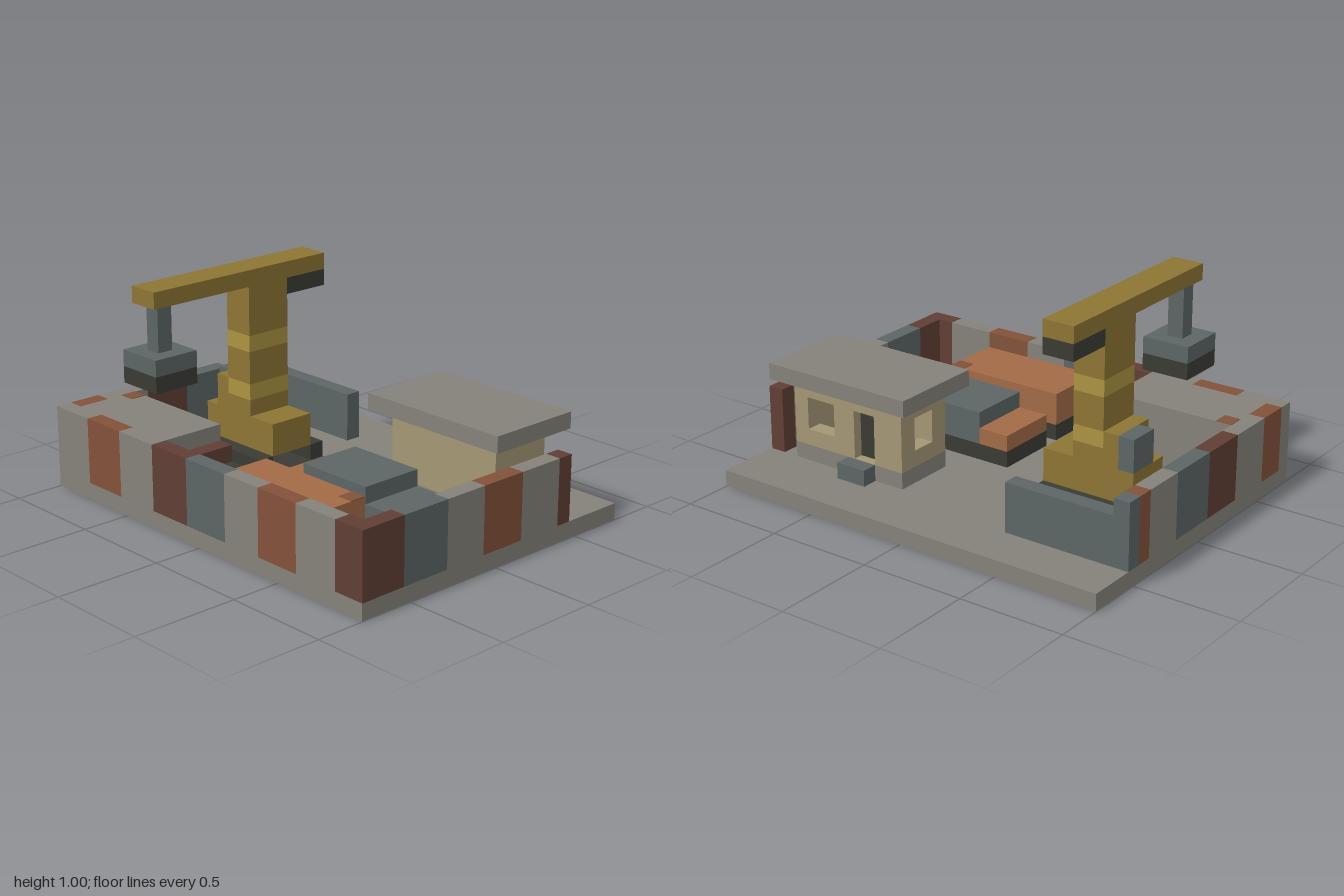
import * as THREE from 'three';

const U = 1 / 13; // grid unit of the blocky design

const mat = (name, color) => {
  const m = new THREE.MeshStandardMaterial({ color });
  m.name = name;
  return m;
};

export function createModel() {
  const grey = mat('concrete', 0x85827a);
  const rust = mat('rust paint', 0x83523a);
  const brown = mat('brown paint', 0x603e34);
  const steel = mat('steel blue', 0x5d6565);
  const yellow = mat('crane yellow', 0x8c7533);
  const gold = mat('light yellow', 0xac9342);
  const dark = mat('dark rubber', 0x3b3b35);
  const beige = mat('plaster', 0xa49774);
  const orange = mat('orange', 0xa26a46);

  const root = new THREE.Group();
  const group = (name) => {
    const g = new THREE.Group();
    g.name = name;
    root.add(g);
    return g;
  };
  // Box given by its extents in grid units
  const box = (parent, name, material, x0, x1, y0, y1, z0, z1) => {
    const m = new THREE.Mesh(
      new THREE.BoxGeometry((x1 - x0) * U, (y1 - y0) * U, (z1 - z0) * U), material);
    m.position.set((x0 + x1) / 2 * U, (y0 + y1) / 2 * U, (z0 + z1) / 2 * U);
    m.name = name;
    parent.add(m);
    return m;
  };

  // Ground slab with an oil stain soaked through it
  const ground = group('ground');
  box(ground, 'slab', grey, -13, 13, 0, 1, -10, 10);
  const s = new THREE.Shape();
  const [a, b, c, d, r] = [-9, -3, -4, 3, 0.35]; // x range, then -z range
  s.moveTo(a + r, c);
  s.lineTo(b - r, c); s.quadraticCurveTo(b, c, b, c + r);
  s.lineTo(b, d - r); s.quadraticCurveTo(b, d, b - r, d);
  s.lineTo(a + r, d); s.quadraticCurveTo(a, d, a, d - r);
  s.lineTo(a, c + r); s.quadraticCurveTo(a, c, a + r, c);
  const stain = new THREE.Mesh(
    new THREE.ExtrudeGeometry(s, { depth: 1.06, bevelEnabled: false, curveSegments: 3 }), dark);
  stain.name = 'oilStain';
  stain.rotation.x = -Math.PI / 2;
  stain.scale.setScalar(U);
  stain.position.y = -0.03 * U;
  ground.add(stain);

  // Perimeter walls as runs of painted blocks: [end, material]
  const walls = group('perimeterWall');
  const run = (start, list, place) => {
    for (const [end, m] of list) {
      place(start, end, m);
      start = end;
    }
  };
  run(-13, [[-10, grey], [-7, rust], [-4, grey], [-1, brown], [2.25, steel], [5, grey],
    [8, rust], [11, grey], [13, brown]],
  (p, q, m) => box(walls, 'frontWallBlock', m, p, q, 1, 5, 9, 10));
  run(-6, [[-5, brown], [-2, grey], [1, rust], [3.8, grey], [7, steel], [9, brown]],
    (p, q, m) => box(walls, 'leftWallBlock', m, 12, 13, 1, 5, p, q));
  box(walls, 'cornerFace', brown, 12.99, 13.02, 1, 5, 9, 10);
  run(-6, [[-5, rust], [-2.3, grey], [1, steel], [4, brown], [7, grey], [9, rust]],
    (p, q, m) => box(walls, 'rightWallBlock', m, -13, -12, 1, 5, p, q));

  // Sliding gate at the back
  const gate = group('gate');
  box(gate, 'gatePost', steel, -13, -12, 1, 5, -7, -6);
  box(gate, 'gatePanel', steel, -12, -5, 1, 4, -7, -6);

  // Raised platform with steps
  const platform = group('platform');
  box(platform, 'platformBlock', grey, -12, -4, 1, 5, 5, 9);
  box(platform, 'platformPatch', rust, -12, -11, 4.98, 5.03, 5, 6);
  box(platform, 'upperStep', brown, -4, -3, 1, 4, 5, 9);
  box(platform, 'lowerStep', dark, -3, -2, 1, 3, 5, 9);

  // Cargo stack behind the front wall
  const cargo = group('cargo');
  box(cargo, 'cargoBase', dark, 0, 8, 1, 2, 5, 9);
  box(cargo, 'cargoBox', orange, 0, 8, 2, 4, 5, 9);
  box(cargo, 'cargoPatch', rust, 7, 8, 3.98, 4.03, 5, 6);

  // Parked truck
  const truck = group('truck');
  box(truck, 'truckChassis', dark, 0, 9, 1, 2, 0, 4);
  box(truck, 'truckTail', orange, 0, 2, 2, 3, 0, 4);
  box(truck, 'truckBody', steel, 2, 7, 2, 4, 0, 4);
  box(truck, 'truckHood', steel, 7, 9, 2, 3, 0, 4);

  // Crane: tracks, body, cab, banded mast, boom, counterweight and load
  const crane = group('crane');
  for (const z of [-3, 1]) box(crane, 'track', dark, -10, -4, 1, 2, z, z + 1);
  box(crane, 'craneBody', yellow, -10, -4, 2, 4, -2, 1);
  box(crane, 'cab', yellow, -9, -8, 4, 6, -2, 1);
  box(crane, 'cabWindow', steel, -10, -9, 4, 6, -2, 0);
  run(4, [[5, yellow], [6, gold], [8, yellow], [9, gold], [12, yellow]],
    (p, q, m) => box(crane, 'mastSection', m, -8, -6, p, q, -2, 1));
  box(crane, 'boom', yellow, -8, -6, 12, 13, -5, 8);
  box(crane, 'counterweight', dark, -8, -6, 11, 12, -5, -2);
  box(crane, 'hoist', steel, -8, -7, 9, 12, 6, 7);
  box(crane, 'loadTop', steel, -9, -6, 8, 9, 5, 8);
  box(crane, 'loadBottom', dark, -9, -6, 7, 8, 5, 8);

  // Guard house: hollow walls with openings under a flat roof
  const house = group('guardHouse');
  const wall = (name, width, holes) => {
    const rect = (C, x0, x1, y0, y1) => {
      const p = new C();
      p.moveTo(x0, y0); p.lineTo(x1, y0); p.lineTo(x1, y1); p.lineTo(x0, y1); p.closePath();
      return p;
    };
    const shape = rect(THREE.Shape, 0, width, 0, 4);
    for (const h of holes) shape.holes.push(rect(THREE.Path, ...h));
    const m = new THREE.Mesh(
      new THREE.ExtrudeGeometry(shape, { depth: 1, bevelEnabled: false }), beige);
    m.name = name;
    m.scale.setScalar(U);
    house.add(m);
    return m;
  };
  box(house, 'plinth', grey, 3, 11, 1, 2, -6, -2);
  wall('backWall', 8, [[5, 7, 1, 3], [2, 3.5, 0.02, 3]]).position.set(3 * U, 2 * U, -6 * U);
  const side = wall('sideWall', 2, [[0.2, 1.8, 1, 3]]);
  side.rotation.y = -Math.PI / 2;
  side.position.set(4 * U, 2 * U, -5 * U);
  box(house, 'farSideWall', beige, 10, 11, 2, 6, -5, -3);
  box(house, 'frontHouseWall', beige, 3, 11, 2, 6, -3, -2);
  box(house, 'door', dark, 5, 6.5, 2, 5, -5.4, -5.3);
  box(house, 'doorStep', steel, 5, 7, 1, 2, -7, -6);
  box(house, 'roof', grey, 2, 12, 6, 7, -7, -1);

  return root;
}
